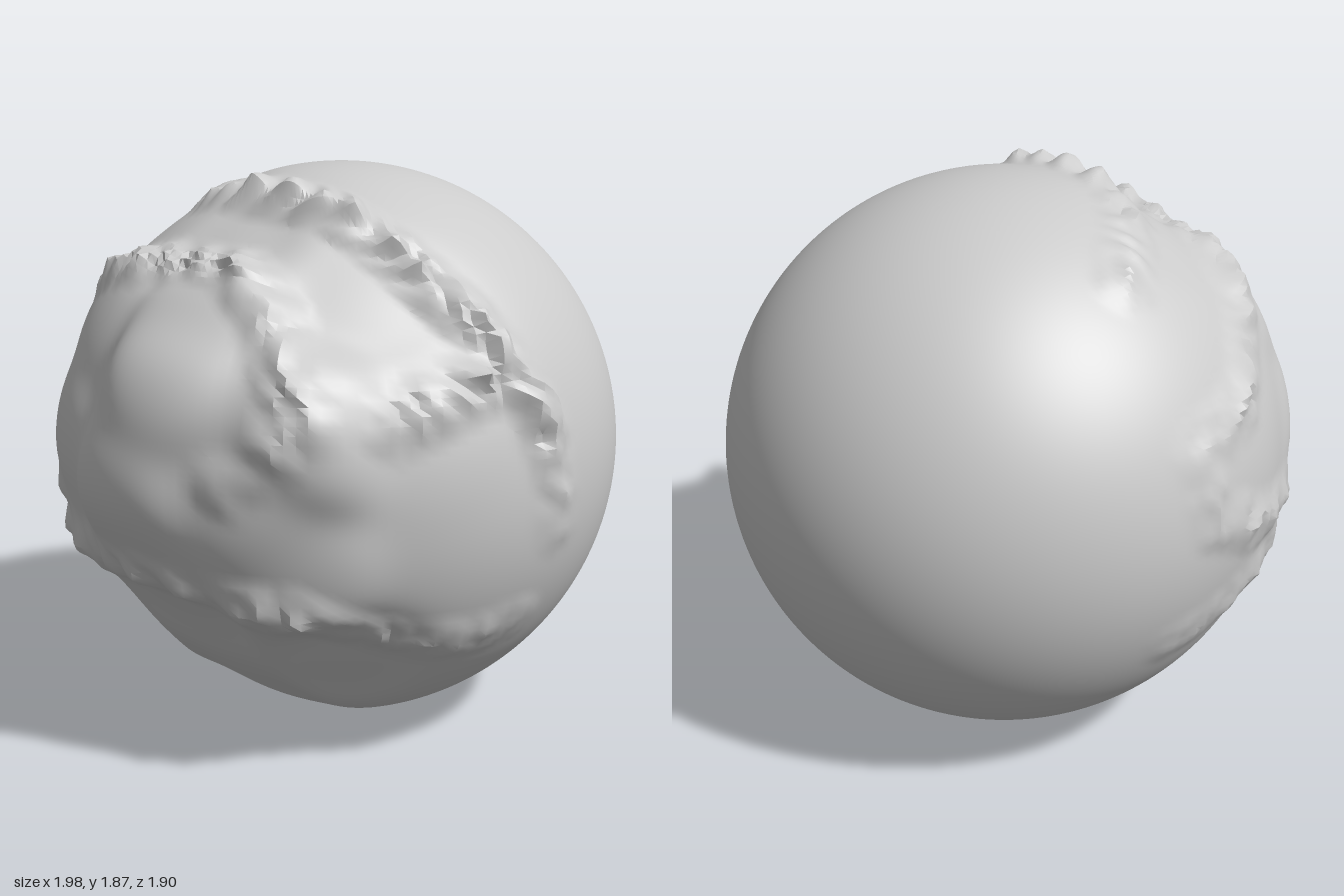
import * as THREE from 'three';
import { toCreasedNormals } from 'three/addons/utils/BufferGeometryUtils.js';

const RADIUS = 0.934;
const onSphere = ([x, y, z, value]) => ({ dir: new THREE.Vector3(x, y, z).normalize(), value });

// Broad ground levels: direction from the globe's centre and radius there
const LEVELS = [
  // raised plate
  [-1.06, 0.01, -0.02, 1.06], [-1, 0.39, 0.1, 1.07], [-0.86, 0.3, 0.62, 1.05], [-0.94, 0, 0.4, 1.0],
  [-0.82, 0.1, -0.54, 0.98], [-0.59, 0.2, -0.72, 0.93], [-0.8, 0.58, 0.1, 1.0], [-0.7, 0.5, -0.4, 0.97],
  [-0.93, -0.2, 0, 0.98], [-0.8, -0.2, 0.5, 0.97], [-0.7, -0.2, -0.55, 0.95], [-0.3, -0.1, -0.9, 0.93],
  // undercut below the plate
  [-0.84, -0.37, 0, 0.875], [-0.72, -0.46, 0, 0.84], [-0.55, -0.55, 0.5, 0.88], [-0.6, -0.52, -0.4, 0.88],
  [-0.6, -0.64, 0, 0.865], [-0.45, -0.76, 0, 0.865], [-0.33, -0.86, 0, 0.92],
  // valley between the ridges
  [-0.55, 0.73, 0, 0.885], [-0.45, 0.6, 0.5, 0.9], [-0.4, 0.78, -0.35, 0.91], [-0.5, 0.25, 0.8, 0.94],
].map(onSphere);

// Ridge lines: direction and height above the ground
const RIDGES = [
  // crest of the plate
  [[-0.06, 0.31, -0.9, 0.01], [-0.3, 0.36, -0.8, 0.025], [-0.47, 0.52, -0.65, 0.03], [-0.62, 0.66, -0.15, 0.04],
    [-0.66, 0.72, 0.13, 0.05], [-0.72, 0.6, 0.35, 0.04], [-0.86, 0.32, 0.6, 0.03], [-0.93, 0.1, 0.35, 0.02]],
  // shore
  [[-0.03, -0.12, 0.95, 0.012], [-0.06, 0.08, 0.95, 0.025], [-0.12, 0.28, 0.95, 0.065], [-0.22, 0.48, 0.8, 0.06],
    [-0.3, 0.68, 0.6, 0.05], [-0.34, 0.86, 0.25, 0.055], [-0.36, 0.92, 0, 0.05], [-0.28, 0.85, -0.3, 0.03],
    [-0.02, 0.74, -0.55, 0.02]],
  // outcrop above the front bay
  [[-0.3, 0.4, 0.85, 0.05], [-0.45, 0.35, 0.8, 0.04], [-0.58, 0.28, 0.72, 0.04]],
  // lower ledge
  [[0, -0.37, -0.89, 0.01], [-0.3, -0.3, -0.85, 0.02], [-0.7, -0.26, -0.55, 0.03], [-0.93, -0.28, 0, 0.035],
    [-0.78, -0.32, 0.48, 0.03], [-0.45, -0.48, 0.7, 0.02], [-0.1, -0.45, 0.85, 0.012]],
  // far coast
  [[-0.06, 0.3, -0.9, 0.015], [-0.11, 0.07, -0.95, 0.02], [-0.35, -0.05, -0.85, 0.025], [-0.72, -0.14, -0.6, 0.025]],
].map((line) => line.map(onSphere));

// Height of the sharp crests, broken up by crags along their length
function ridgeHeight(d) {
  let height = 0;
  const segment = new THREE.Line3(), nearest = new THREE.Vector3();
  for (const line of RIDGES) {
    for (let i = 1; i < line.length; i++) {
      const a = line[i - 1], b = line[i];
      segment.set(a.dir, b.dir);
      const t = segment.closestPointToPointParameter(d, true);
      const distance = segment.at(t, nearest).normalize().distanceTo(d);
      const h = THREE.MathUtils.lerp(a.value, b.value, t);
      height = Math.max(height, h * (1 - distance / 0.12));
    }
  }
  const crag = Math.sin(d.x * 31 + 3 * Math.sin(d.y * 17)) * Math.sin(d.z * 37 + 2 * Math.sin(d.x * 23));
  return height * (1 + 0.6 * crag);
}

function surfaceRadius(d) {
  let weight = 0.1, sum = 0.1 * RADIUS;
  for (const level of LEVELS) {
    const w = Math.exp(-d.distanceToSquared(level.dir) / 0.026);
    weight += w;
    sum += w * level.value;
  }
  return sum / weight + ridgeHeight(d);
}

export function createModel() {
  const group = new THREE.Group();
  group.name = 'cragglobe';

  // Smooth globe whose -x side is pushed out into terrain
  const geometry = new THREE.SphereGeometry(1, 180, 120);
  const position = geometry.attributes.position;
  const d = new THREE.Vector3();
  for (let i = 0; i < position.count; i++) {
    d.fromBufferAttribute(position, i).normalize();
    d.multiplyScalar(surfaceRadius(d));
    position.setXYZ(i, d.x, d.y, d.z);
  }
  geometry.deleteAttribute('uv');

  const globe = new THREE.Mesh(
    toCreasedNormals(geometry, Math.PI / 6),
    new THREE.MeshStandardMaterial({ color: 0xcccccc })
  );
  globe.name = 'globeWithTerrain';
  globe.position.set(0.066, 0.937, -0.03);
  group.add(globe);
  return group;
}
